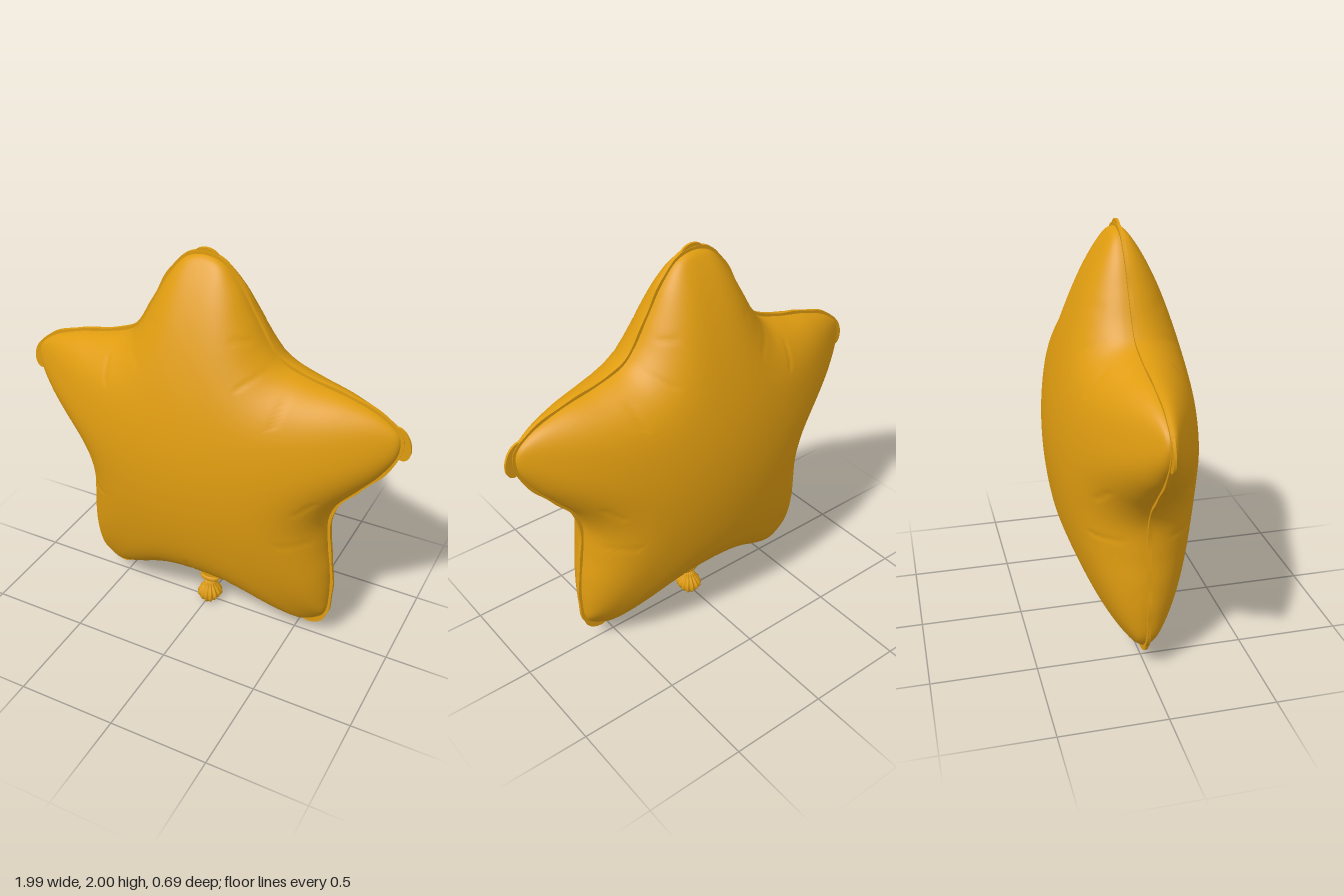
import * as THREE from 'three';
import { mergeVertices } from 'three/addons/utils/BufferGeometryUtils.js';

const { smoothstep, clamp } = THREE.MathUtils;
const CENTER = new THREE.Vector2(0, 0.95);
const DEPTH = 0.335, REACH = 1.03, SEAM = 0.009, AROUND = 360, RINGS = 36;

// Half outline of the star, from the top tip down to the neck
const HALF = [
  [0, 1.968], [0.09, 1.945], [0.17, 1.86], [0.25, 1.725], [0.325, 1.595], [0.39, 1.525],
  [0.53, 1.475], [0.72, 1.43], [0.87, 1.37], [0.945, 1.3], [0.945, 1.21], [0.88, 1.09],
  [0.78, 0.975], [0.685, 0.865], [0.64, 0.76], [0.643, 0.6], [0.66, 0.45], [0.664, 0.3],
  [0.645, 0.17], [0.59, 0.105], [0.5, 0.105], [0.36, 0.16], [0.22, 0.225], [0.1, 0.256], [0, 0.26],
];

// Short creases beside the inner corners: x1, y1, x2, y2
const CREASES = [
  [0.43, 1.33, 0.45, 1.43], [0.25, 1.47, 0.34, 1.53], [0.19, 1.66, 0.25, 1.65],
  [0.48, 0.68, 0.6, 0.685], [0.55, 0.88, 0.63, 0.95], [0.15, 0.27, 0.19, 0.33], [0, 0.31, 0, 0.42],
];

function outlineCurve() {
  const right = HALF.map(([x, y]) => [x, y]);
  const left = HALF.slice(1, -1).reverse().map(([x, y]) => [-x, y]);
  const points = [...right, ...left].map(([x, y]) => new THREE.Vector3(x + 0.018 * (1 - y), y, 0));
  return new THREE.CatmullRomCurve3(points, true);
}

function creaseDepth(x, y) {
  let sum = 0;
  for (const [x1, y1, x2, y2] of CREASES) {
    const dx = x2 - x1, dy = y2 - y1;
    const px = Math.abs(x) - x1, py = y - y1;
    const k = clamp((px * dx + py * dy) / (dx * dx + dy * dy), 0, 1);
    const d = Math.hypot(px - k * dx, py - k * dy);
    sum += 0.005 * Math.exp(-((d / 0.01) ** 2));
  }
  return sum;
}

// Smooth measure of the distance from a point to the whole outline
function softDistance(x, y, border) {
  let sum = 0;
  for (const p of border) {
    const d2 = (p.x - x) ** 2 + (p.y - y) ** 2;
    sum += 1 / Math.max(1e-15, d2 * Math.sqrt(d2));
  }
  return Math.sqrt(border.length / sum);
}

// Swelling from 0 to 1: a dome along the arms, rounded off towards the edges
function swellAt(x, y, border) {
  const dx = x - CENTER.x, dy = y - CENTER.y, r = Math.hypot(dx, dy);
  const power = 0.98 - 0.13 * smoothstep(dy, 0.3, 1) - 0.2 * smoothstep(-dy, 0, 0.8);
  const dome = Math.max(0, 1 - (r / REACH) ** 2) ** power;
  const spine = Math.max(0.02, softDistance(CENTER.x, CENTER.y + Math.min(r, 1), border));
  const q = Math.min(1, softDistance(x, y, border) / spine);
  return dome * Math.sqrt(q * (2 - q));
}

// Points of one inflated half: rings shrink from the outline to the centre while swelling in z
function pillowPoints(curve) {
  const outline = curve.getSpacedPoints(AROUND).slice(0, AROUND);
  const border = curve.getSpacedPoints(AROUND * 4).slice(0, AROUND * 4);
  const points = [];
  for (let j = 0; j <= RINGS; j++) {
    const t = Math.sin((j / RINGS) * Math.PI / 2);
    for (const p of outline) {
      const x = CENTER.x + (p.x - CENTER.x) * t, y = CENTER.y + (p.y - CENTER.y) * t;
      const swell = j === RINGS ? 0 : swellAt(x, y, border);
      points.push([x, y, SEAM + DEPTH * swell - creaseDepth(x, y) * Math.min(1, swell * 4)]);
    }
  }
  return points;
}

function pillowGeometry(points, side) {
  const index = [];
  const face = (a, b, c) => (side > 0 ? index.push(a, b, c) : index.push(a, c, b));
  for (let j = 0; j < RINGS; j++) {
    for (let i = 0; i < AROUND; i++) {
      const n = (i + 1) % AROUND;
      const a = j * AROUND + i, b = j * AROUND + n;
      const c = a + AROUND, d = b + AROUND;
      if (j > 0) face(a, b, d);
      face(a, d, c);
    }
  }
  let geometry = new THREE.BufferGeometry();
  const positions = points.flatMap(([x, y, z]) => [x, y, side * z]);
  geometry.setAttribute('position', new THREE.Float32BufferAttribute(positions, 3));
  geometry.setIndex(index);
  geometry = mergeVertices(geometry, 1e-6);
  geometry.computeVertexNormals();
  return geometry;
}

// Flat welded rim that follows the outline
function rimGeometry(curve) {
  const outer = [], inner = [];
  for (let i = 0; i < AROUND; i++) {
    const p = curve.getPointAt(i / AROUND), t = curve.getTangentAt(i / AROUND);
    const w = 0.014 + 0.002 * Math.sin(i * 0.55);
    outer.push(new THREE.Vector2(p.x - t.y * w, p.y + t.x * w));
    inner.push(new THREE.Vector2(p.x + t.y * 0.008, p.y - t.x * 0.008));
  }
  const shape = new THREE.Shape(outer);
  shape.holes.push(new THREE.Path(inner));
  const geometry = new THREE.ExtrudeGeometry(shape, { depth: 2 * SEAM, bevelEnabled: false });
  return geometry.translate(0, 0, -SEAM);
}

// Gathered, pleated tail under the knot
function tailGeometry() {
  const profile = [[0.004, 0.132], [0.026, 0.126], [0.026, 0.11], [0.04, 0.09], [0.056, 0.065],
    [0.061, 0.042], [0.05, 0.022], [0.03, 0.012], [0.002, 0.02]];
  const points = profile.map(([r, y]) => new THREE.Vector2(r, y)).reverse();
  const geometry = new THREE.LatheGeometry(points, 96);
  const pos = geometry.attributes.position;
  for (let i = 0; i < pos.count; i++) {
    const x = pos.getX(i), y = pos.getY(i), z = pos.getZ(i);
    const a = Math.atan2(z, x);
    const k = 1 + 0.09 * Math.sin(a * 14);
    const droop = y < 0.05 ? 0.006 * Math.sin(a * 3 + 1) : 0;
    pos.setXYZ(i, x * k, Math.max(0, y + droop - 0.004), z * k * 1.1);
  }
  geometry.computeVertexNormals();
  return geometry;
}

export function createModel() {
  const group = new THREE.Group();
  const gold = new THREE.MeshStandardMaterial({ color: 0xdf9c10, side: THREE.DoubleSide });
  gold.name = 'gold foil';
  const add = (name, geometry) => {
    const mesh = new THREE.Mesh(geometry, gold);
    mesh.name = name;
    group.add(mesh);
    return mesh;
  };

  // Inflated star
  const curve = outlineCurve();
  curve.arcLengthDivisions = 1500;
  const points = pillowPoints(curve);
  add('frontPillow', pillowGeometry(points, 1));
  add('backPillow', pillowGeometry(points, -1));
  add('seamRim', rimGeometry(curve));

  // Rounded flat tabs on the five tips: x, y, half width, half length, tilt
  const tabs = [
    [-0.012, 1.95, 0.068, 0.05, 0], [-0.942, 1.25, 0.085, 0.05, 1.25], [0.942, 1.265, 0.085, 0.05, -1.25],
    [-0.55, 0.115, 0.08, 0.046, -0.45], [0.597, 0.125, 0.07, 0.046, 0.5],
  ];
  for (const [x, y, w, h, tilt] of tabs) {
    const disc = new THREE.CylinderGeometry(1, 1, 0.012, 32).rotateX(Math.PI / 2);
    const tab = add('tipTab', disc.scale(w, h, 1));
    tab.position.set(x, y, 0);
    tab.rotation.z = tilt;
  }

  // Filling neck: flattened tube with a rolled collar
  const neckProfile = [[0.046, 0.135], [0.052, 0.16], [0.056, 0.19], [0.064, 0.23], [0.085, 0.258], [0.1, 0.29]];
  const neck = add('neck', new THREE.LatheGeometry(neckProfile.map(([r, y]) => new THREE.Vector2(r, y)), 32));
  neck.scale.z = 0.4;
  const collar = add('collar', new THREE.TorusGeometry(0.042, 0.013, 10, 32).rotateX(Math.PI / 2));
  collar.position.y = 0.145;
  collar.scale.z = 0.6;
  const cap = add('collarBase', new THREE.CylinderGeometry(0.044, 0.03, 0.02, 32));
  cap.position.y = 0.134;
  cap.scale.z = 0.55;
  const tail = add('gatheredTail', tailGeometry());
  for (const part of [neck, collar, cap, tail]) part.position.x = 0.006;

  return group;
}
